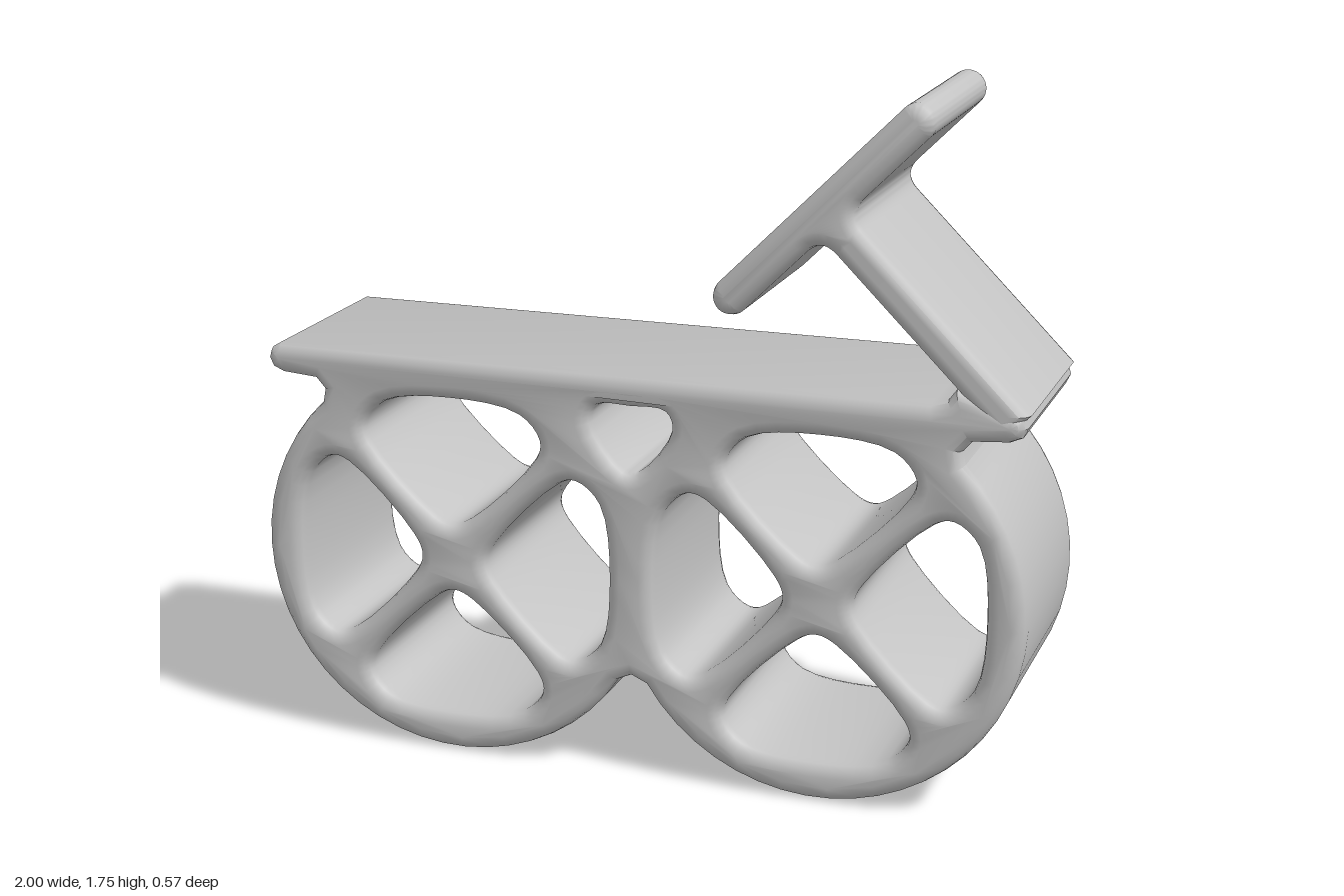
import * as THREE from 'three';
import { toCreasedNormals } from 'three/addons/utils/BufferGeometryUtils.js';

const DEPTH = 0.57, BEVEL = 0.035;
const WHEEL_X = 0.48, WHEEL_Y = 0.52, WHEEL_R = 0.52;

// Extrude a side profile across the full width, with softly rounded rims
function slab(name, shape, material) {
  const geometry = new THREE.ExtrudeGeometry(shape, {
    depth: DEPTH - 2 * BEVEL, curveSegments: 12,
    bevelThickness: BEVEL, bevelSize: BEVEL, bevelOffset: -BEVEL, bevelSegments: 3,
  });
  geometry.translate(0, 0, -DEPTH / 2 + BEVEL);
  const mesh = new THREE.Mesh(toCreasedNormals(geometry, 0.6), material);
  mesh.name = name;
  return mesh;
}

// Smooth closed opening through a few points
function opening(points, samples = 40) {
  const curve = new THREE.CatmullRomCurve3(
    points.map(([x, y]) => new THREE.Vector3(x, y, 0)), true, 'centripetal');
  return new THREE.Path(curve.getPoints(samples).slice(0, -1).map(p => new THREE.Vector2(p.x, p.y)));
}

function frameShape() {
  // Right half: notch between the wheels, wheel rim, neck and deck end
  const half = [];
  const start = THREE.MathUtils.degToRad(212 - 360), end = THREE.MathUtils.degToRad(47);
  for (let i = 0; i <= 28; i++) {
    const a = start + (end - start) * i / 28;
    half.push([WHEEL_X + WHEEL_R * Math.cos(a), WHEEL_Y + WHEEL_R * Math.sin(a)]);
  }
  half.push([0.828, 0.935], [0.85, 0.96], [0.94, 0.967], [0.97, 0.98], [0.982, 1.005], [0.975, 1.03], [0.95, 1.045]);
  const gusset = [[0.9, 1.06], [0.81, 1.085], [0.79, 1.057], [0.75, 1.045]];
  const left = half.map(([x, y]) => [-x, y]).reverse();
  const outline = [[0, 0.262], ...half, ...gusset, ...left];
  const shape = new THREE.Shape(outline.map(([x, y]) => new THREE.Vector2(x, y)));

  // Four openings per wheel leave a cross of spokes
  const side = [[0.05, 0.11], [0.225, 0.285], [0.237, 0.335], [0.185, 0.395]];
  const wedge = [[0, 0.09], ...side, [0, 0.42], ...side.map(([x, y]) => [-x, y]).reverse()];
  for (const cx of [-WHEEL_X, WHEEL_X]) {
    for (let q = 0; q < 4; q++) {
      const c = Math.round(Math.cos(q * Math.PI / 2)), s = Math.round(Math.sin(q * Math.PI / 2));
      shape.holes.push(opening(wedge.map(([x, y]) => [cx + c * x - s * y, WHEEL_Y + s * x + c * y])));
    }
  }
  // Small triangular gap under the deck
  shape.holes.push(opening(
    [[0.02, 0.8], [0.105, 0.915], [0.09, 0.96], [0, 0.965], [-0.09, 0.96], [-0.105, 0.915], [-0.02, 0.8]], 28));
  return shape;
}

// T profile: rounded bar on top of a post
function steeringShape() {
  const r = 0.045, reach = 0.315, P = Math.PI;
  const shape = new THREE.Shape();
  shape.absarc(reach, 0, r, -P / 2, P / 2, false);
  shape.absarc(-reach, 0, r, P / 2, 1.5 * P, false);
  shape.lineTo(-0.1, -r);
  shape.quadraticCurveTo(-r, -r, -r, -0.1);
  shape.lineTo(-r, -0.68);
  shape.lineTo(r, -0.68);
  shape.lineTo(r, -0.1);
  shape.quadraticCurveTo(r, -r, 0.1, -r);
  shape.closePath();
  return shape;
}

export function createModel() {
  const group = new THREE.Group();
  const grey = new THREE.MeshStandardMaterial({ color: 0xc4c4c4 });
  grey.name = 'light grey';

  group.add(slab('wheelsAndDeck', frameShape(), grey));

  const steering = slab('steeringPostAndBar', steeringShape(), grey);
  steering.rotation.z = Math.PI / 4;
  steering.position.set(0.475, 1.485, 0);
  group.add(steering);
  return group;
}
